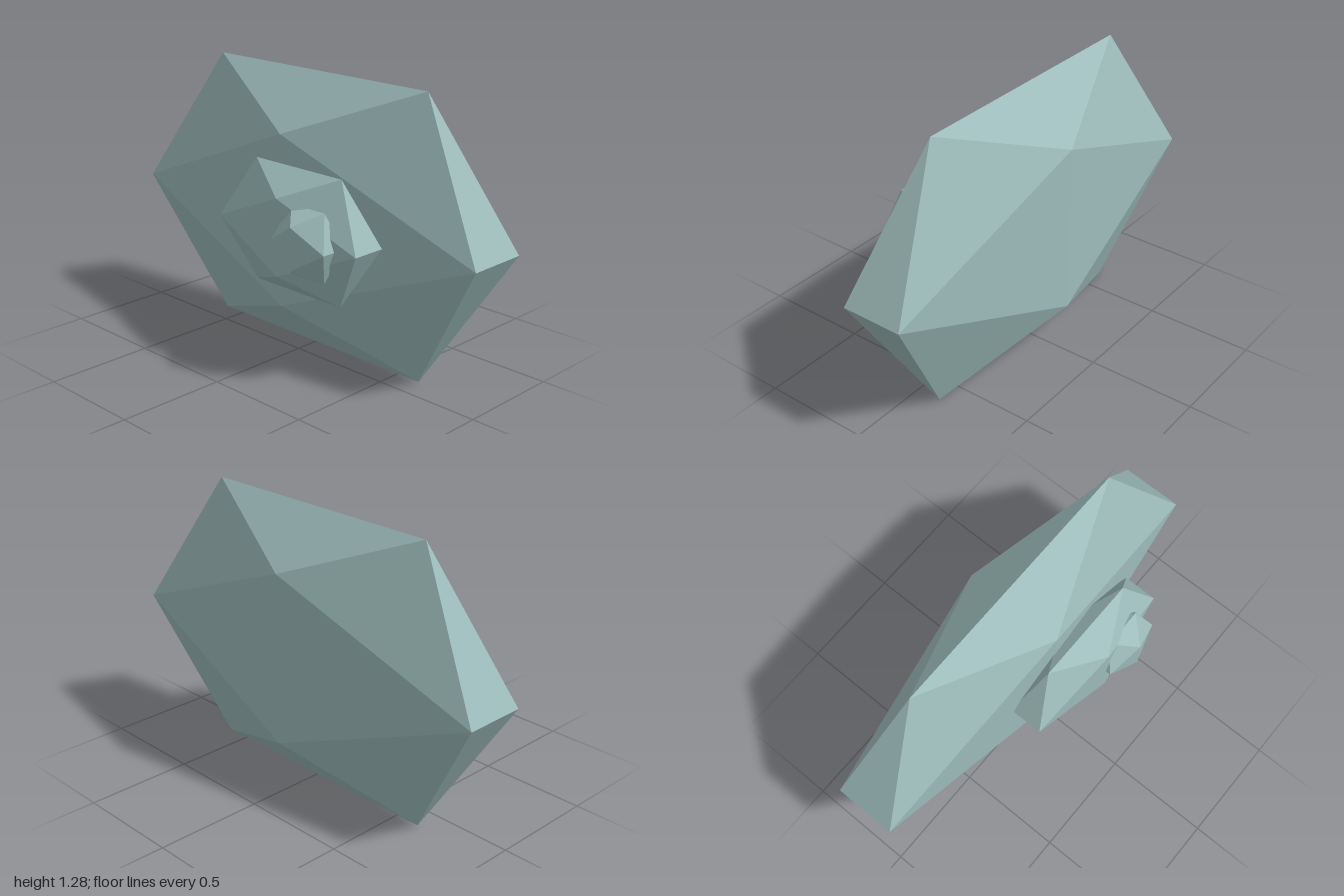
import * as THREE from 'three';

export function createModel() {
  const group = new THREE.Group();
  const stone = new THREE.MeshStandardMaterial({ color: 0x9dbcbb });
  stone.name = 'paleTealStone';
  stone.flatShading = true;

  // An icosahedron stretched to the given half sizes
  const reach = 0.85065; // half extent of a unit icosahedron along each axis
  const facetedStone = (name, half, position) => {
    const geometry = new THREE.IcosahedronGeometry(1, 0);
    geometry.scale(...half.map((h) => h / reach));
    geometry.computeVertexNormals();
    const mesh = new THREE.Mesh(geometry, stone);
    mesh.name = name;
    mesh.position.set(...position);
    group.add(mesh);
  };

  // Three stones, each set into the front of the one behind it
  facetedStone('largeStone', [1, 0.64, 0.231], [0, 0.64, -0.117]);
  facetedStone('middleStone', [0.408, 0.281, 0.129], [0.15, 0.642, 0.155]);
  facetedStone('smallStone', [0.153, 0.154, 0.103], [0.298, 0.642, 0.245]);

  return group;
}
